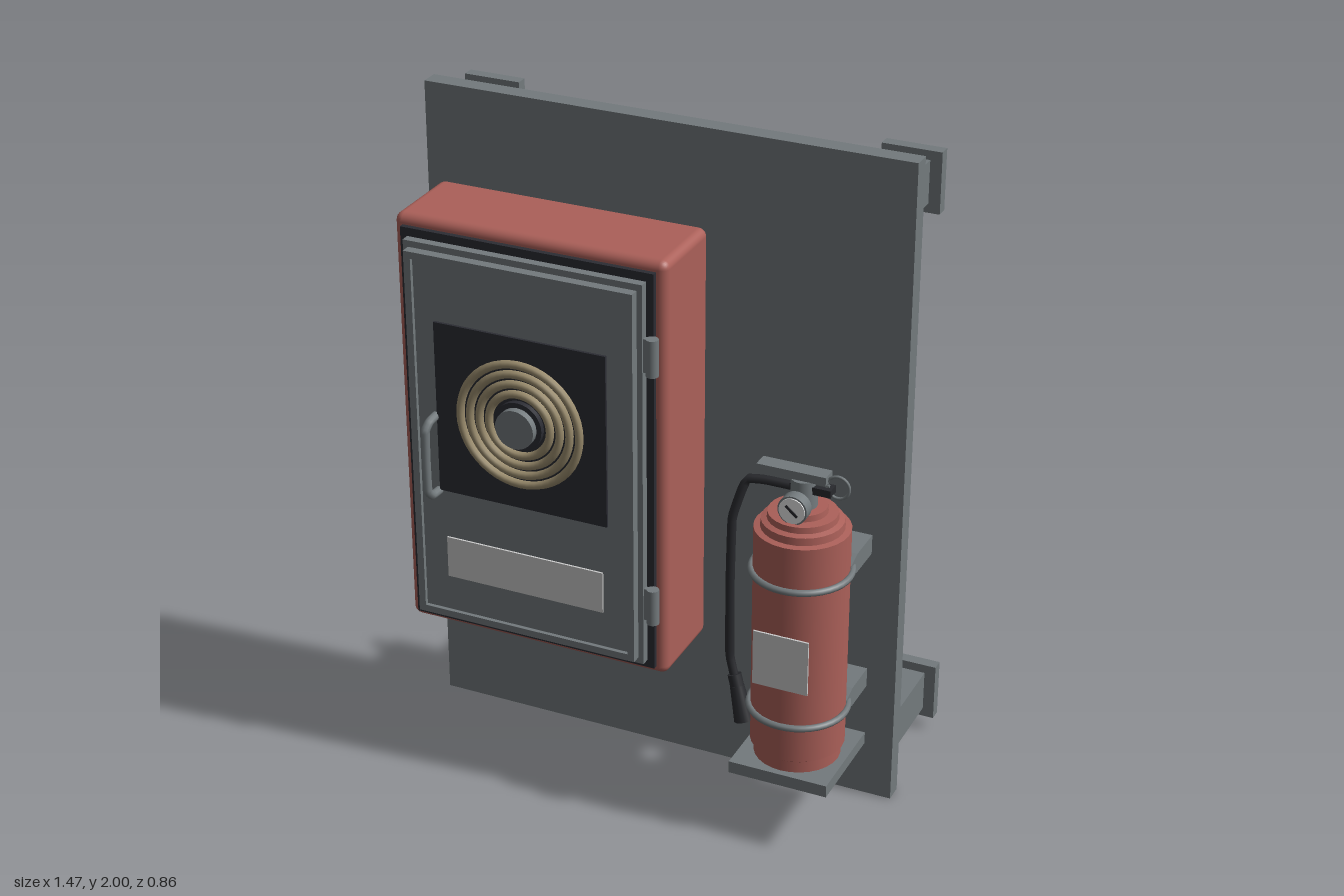
import * as THREE from 'three';
import { RoundedBoxGeometry } from 'three/addons/geometries/RoundedBoxGeometry.js';

const mat = (name, color) => Object.assign(new THREE.MeshStandardMaterial({ color }), { name });
const V = (x, y, z) => new THREE.Vector3(x, y, z);

export function createModel() {
  const steel = mat('steel grey', 0x737a7d);
  const red = mat('safety red', 0xab6059);
  const dark = mat('seal black', 0x2b2c33);
  const rubber = mat('rubber black', 0x28292d);
  const tan = mat('hose tan', 0x9b8d6e);
  const label = mat('label grey', 0xcacaca);
  const white = mat('dial white', 0xe9e9e9);

  const model = new THREE.Group();
  model.name = 'fireStation';
  const group = (name, parent = model) => {
    const g = new THREE.Group();
    g.name = name;
    parent.add(g);
    return g;
  };
  const add = (parent, name, geometry, material, x = 0, y = 0, z = 0) => {
    const m = new THREE.Mesh(geometry, material);
    m.name = name;
    m.position.set(x, y, z);
    parent.add(m);
    return m;
  };
  // box given by its limits on each axis
  const box = (parent, name, material, x0, x1, y0, y1, z0, z1) =>
    add(parent, name, new THREE.BoxGeometry(x1 - x0, y1 - y0, z1 - z0), material,
      (x0 + x1) / 2, (y0 + y1) / 2, (z0 + z1) / 2);
  // rectangular frame with an opening
  const frame = (parent, name, material, x0, x1, y0, y1, z0, z1, rim) => {
    const rect = (P, a, b, c, d) => new P([[a, c], [b, c], [b, d], [a, d]].map(p => new THREE.Vector2(...p)));
    const s = rect(THREE.Shape, x0, x1, y0, y1);
    s.holes.push(rect(THREE.Path, x0 + rim, x1 - rim, y0 + rim, y1 - rim));
    return add(parent, name, new THREE.ExtrudeGeometry(s, { depth: z1 - z0, bevelEnabled: false }), material, 0, 0, z0);
  };
  // straight-sided tube through points
  const pipe = (points, r, sides = 10) => {
    const path = new THREE.CatmullRomCurve3(points, false, 'catmullrom', 0.15);
    return new THREE.TubeGeometry(path, 40, r, sides);
  };
  // disc or cylinder facing +z
  const disc = (r, depth, sides = 32) => new THREE.CylinderGeometry(r, r, depth, sides).rotateX(Math.PI / 2);

  // backboard
  box(model, 'backboard', steel, -0.733, 0.733, 0, 2, -0.03, 0.025);

  // wall standoffs, short above and long below
  for (const [y, end] of [[1.857, -0.197], [0.133, -0.368]]) {
    for (const x of [-0.64, 0.635]) {
      const s = group('standoff');
      box(s, 'standoffArm', steel, x - 0.053, x + 0.053, y - 0.063, y + 0.063, end, -0.03);
      box(s, 'standoffFlange', steel, x - 0.087, x + 0.087, y - 0.09, y + 0.09, end - 0.036, end);
      box(s, 'standoffPad', steel, x - 0.053, x + 0.053, y - 0.063, y + 0.063, end - 0.06, end - 0.036);
    }
  }

  // cabinet body and door
  const cabinet = group('hoseCabinet');
  add(cabinet, 'cabinetBody', new RoundedBoxGeometry(0.83, 1.29, 0.277, 3, 0.025), red, -0.276, 1.07, 0.163);
  box(cabinet, 'doorSeal', dark, -0.662, 0.108, 0.452, 1.685, 0.29, 0.317);
  box(cabinet, 'door', steel, -0.64, 0.086, 0.476, 1.66, 0.317, 0.343);
  frame(cabinet, 'doorRim', steel, -0.624, 0.07, 0.495, 1.641, 0.343, 0.372, 0.021);
  box(cabinet, 'doorPanel', steel, -0.604, 0.05, 0.515, 1.621, 0.343, 0.36);
  box(cabinet, 'doorLabel', label, -0.526, -0.03, 0.63, 0.759, 0.36, 0.366);
  for (const y of [1.45, 0.672]) {
    add(cabinet, 'hinge', new THREE.CylinderGeometry(0.018, 0.018, 0.11, 16), steel, 0.113, y, 0.337);
    box(cabinet, 'hingeLeaf', steel, 0.08, 0.113, y - 0.05, y + 0.05, 0.322, 0.338);
  }
  // door handle
  add(cabinet, 'doorHandle', pipe([
    V(-0.548, 1.145, 0.36), V(-0.548, 1.142, 0.4), V(-0.552, 1.12, 0.418), V(-0.553, 1.03, 0.419),
    V(-0.552, 0.93, 0.418), V(-0.548, 0.908, 0.4), V(-0.548, 0.905, 0.36)], 0.013), steel);

  // coiled hose behind a dark window
  const coil = group('hoseReel', cabinet);
  box(coil, 'reelWindow', dark, -0.541, -0.013, 0.912, 1.44, 0.36, 0.368);
  for (const r of [0.185, 0.155, 0.125, 0.095]) {
    add(coil, 'hoseLoop', new THREE.TorusGeometry(r, 0.0125, 8, 48), tan, -0.277, 1.177, 0.372);
  }
  add(coil, 'reelCollar', disc(0.074, 0.02), dark, -0.277, 1.177, 0.374);
  add(coil, 'reelHub', disc(0.059, 0.045), steel, -0.277, 1.177, 0.383);

  // extinguisher shelf and wall brackets
  const cx = 0.515, cz = 0.225;
  const mount = group('extinguisherMount');
  box(mount, 'shelf', steel, 0.365, 0.663, 0.203, 0.24, 0.07, 0.37);
  for (const y of [0.838, 0.398]) {
    const side = new THREE.Shape([[0.025, -0.03], [0.14, -0.03], [0.185, -0.014], [0.19, 0], [0.185, 0.014], [0.14, 0.03], [0.025, 0.03]]
      .map(p => new THREE.Vector2(...p)));
    const g = new THREE.ExtrudeGeometry(side, { depth: 0.262, bevelEnabled: false }).rotateY(-Math.PI / 2);
    add(mount, 'wallBracket', g, steel, cx + 0.131, y, 0);
    add(mount, 'strap', new THREE.TorusGeometry(0.141, 0.01, 8, 40).rotateX(Math.PI / 2), steel, cx, y, cz);
  }

  // extinguisher cylinder
  const ext = group('extinguisher');
  const profile = [[0, 0.24], [0.125, 0.24], [0.125, 0.275], [0.136, 0.283], [0.136, 0.97], [0.118, 0.973],
    [0.116, 0.995], [0.1, 1.0], [0.098, 1.018], [0.07, 1.02], [0.068, 1.038], [0, 1.038]];
  // doubled points keep the steps crisp
  const points = profile.flatMap(p => [new THREE.Vector2(...p), new THREE.Vector2(...p)]).slice(1, -1);
  const rings = [];
  for (let i = 0; i < points.length; i += 2) rings.push([points[i], points[i + 1]]);
  rings.forEach(pair => add(ext, 'tank', new THREE.LatheGeometry(pair, 28), red, cx, 0, cz));
  box(ext, 'tankLabel', label, 0.431, 0.596, 0.52, 0.69, 0.36, 0.366);

  // valve, levers and safety pin
  add(ext, 'valve', new THREE.CylinderGeometry(0.036, 0.04, 0.085, 16), steel, cx, 1.078, cz);
  box(ext, 'lowerLever', rubber, 0.48, 0.6, 1.083, 1.105, 0.203, 0.243);
  box(ext, 'upperLever', steel, 0.383, 0.587, 1.12, 1.145, 0.198, 0.247);
  add(ext, 'pin', new THREE.CylinderGeometry(0.005, 0.005, 0.1, 8).rotateZ(Math.PI / 2), steel, 0.54, 1.11, cz);
  add(ext, 'pinRing', new THREE.TorusGeometry(0.033, 0.0045, 8, 24), steel, 0.615, 1.111, cz);

  // pressure gauge
  add(ext, 'gaugeStem', disc(0.016, 0.05, 12), steel, cx, 1.058, 0.265);
  add(ext, 'gaugeCase', disc(0.043, 0.035), steel, cx, 1.058, 0.29);
  add(ext, 'gaugeFace', disc(0.038, 0.004), white, cx, 1.058, 0.309);
  add(ext, 'gaugeNeedle', new THREE.BoxGeometry(0.045, 0.008, 0.003), rubber, cx, 1.058, 0.312).rotation.z = -0.7;

  // discharge hose and nozzle
  add(ext, 'hose', pipe([
    V(0.49, 1.088, cz), V(0.4, 1.088, cz), V(0.352, 1.083, 0.23), V(0.338, 1.05, 0.238), V(0.315, 0.96, 0.25),
    V(0.313, 0.75, 0.255), V(0.315, 0.52, 0.255), V(0.335, 0.45, 0.262)], 0.013), rubber);
  const nozzle = (name, a, b, r0, r1) => {
    const d = b.clone().sub(a);
    const m = add(ext, name, new THREE.CylinderGeometry(r1, r0, d.length(), 14), rubber);
    m.position.copy(a).addScaledVector(d, 0.5);
    m.quaternion.setFromUnitVectors(V(0, 1, 0), d.normalize());
  };
  nozzle('nozzleCollar', V(0.332, 0.462, 0.26), V(0.345, 0.425, 0.267), 0.02, 0.02);
  nozzle('nozzle', V(0.343, 0.43, 0.266), V(0.373, 0.33, 0.28), 0.021, 0.03);

  return model;
}
